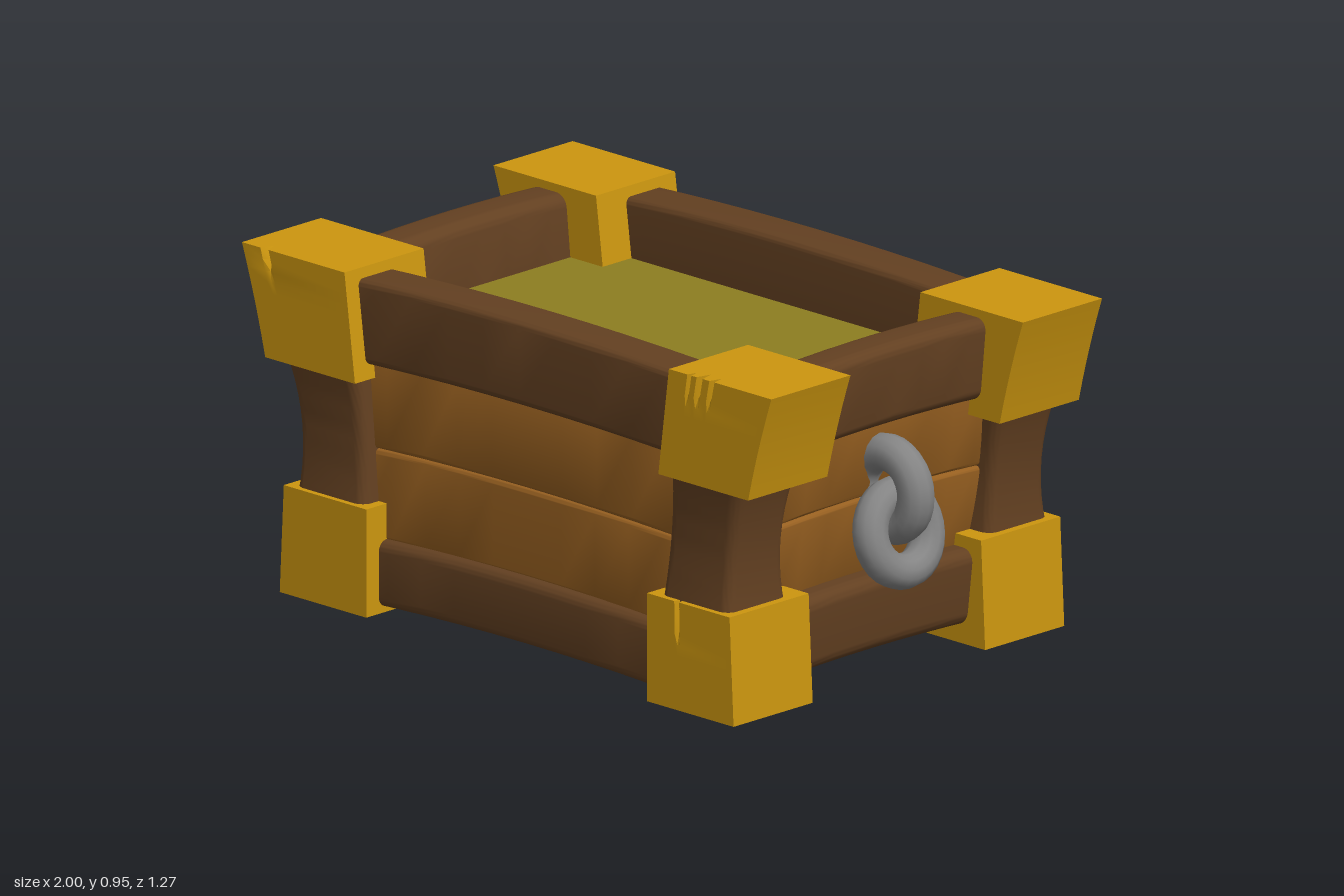
import * as THREE from 'three';
import { toCreasedNormals } from 'three/addons/utils/BufferGeometryUtils.js';

const paint = (name, color) => Object.assign(new THREE.MeshStandardMaterial({ color }), { name });

// Move every vertex by a rule, then keep only the real edges sharp
function reshape(geo, rule) {
  const p = geo.attributes.position;
  const v = new THREE.Vector3();
  for (let i = 0; i < p.count; i++) {
    v.fromBufferAttribute(p, i);
    rule(v);
    p.setXYZ(i, v.x, v.y, v.z);
  }
  return toCreasedNormals(geo, 0.6);
}

function roundRect(x0, y0, x1, y1, r) {
  const s = new THREE.Shape();
  s.absarc(x1 - r, y0 + r, r, -Math.PI / 2, 0);
  s.absarc(x1 - r, y1 - r, r, 0, Math.PI / 2);
  s.absarc(x0 + r, y1 - r, r, Math.PI / 2, Math.PI);
  s.absarc(x0 + r, y0 + r, r, Math.PI, Math.PI * 1.5);
  s.closePath();
  return s;
}

const extrude = (shape, depth, steps) =>
  new THREE.ExtrudeGeometry(shape, { depth, steps, curveSegments: 4, bevelEnabled: false });

// Upright part in a unit plan, stretched between inner and outer faces given by height
function upright(shape, sx, sz, y0, y1, f) {
  const geo = extrude(shape, y1 - y0, 10);
  geo.rotateX(-Math.PI / 2);
  geo.translate(0, y0, 0);
  return reshape(geo, v => {
    const xi = f.xIn(v.y), zi = f.zIn(v.y);
    let w = v.z;
    const a = Math.abs(w);
    // nick tips get shallower lower down
    if (a > 0.7 && a < 0.99 && f.nickLength) {
      const fade = Math.max(0, 1 - (y1 - v.y) / f.nickLength);
      w = sz * (1 - (1 - a) * fade);
    }
    v.x = sx * xi + v.x * (f.xOut(v.y) - xi);
    v.z = sz * zi + w * (f.zOut(v.y) - zi);
  });
}

// Square cap plan with small wedge nicks in its z-facing side
function capPlan(sx, sz, nicks) {
  const pts = [[0, 0], [0, 1]];
  for (const [t, half, depth] of nicks) pts.push([t - half, 1], [t, 1 - depth], [t + half, 1]);
  pts.push([1, 1], [1, 0]);
  return new THREE.Shape(pts.map(([t, w]) => new THREE.Vector2(sx * t, -sz * w)));
}

// Arched horizontal bar; near and far are its inner and outer distances from the centre
function bar(alongX, side, near, far, y0, y1, half, rise, r, lean = 0) {
  const dir = alongX ? -side : side;
  const a = dir * near, b = dir * far;
  const geo = extrude(roundRect(Math.min(a, b), y0, Math.max(a, b), y1, r), half * 2, 10);
  geo.translate(0, 0, -half);
  if (alongX) geo.rotateY(Math.PI / 2);
  return reshape(geo, v => {
    const s = (alongX ? v.x : v.z) / half;
    if (!alongX) v.x += side * lean * (v.y - (y0 + y1) / 2);
    v.y += rise * (1 - s * s);
  });
}

export function createModel() {
  const model = new THREE.Group();
  model.name = 'chest';
  const gold = paint('gold', 0xcc960f);
  const darkWood = paint('dark wood', 0x634021);
  const plankWood = paint('plank wood', 0x965f20);
  const olive = paint('olive lining', 0x8d7e20);
  const iron = paint('iron', 0x848484);

  const add = (name, geo, mat, parent = model) => {
    const m = new THREE.Mesh(geo, mat);
    m.name = name;
    parent.add(m);
    return m;
  };

  // Core with the lining on top
  add('core', new THREE.BoxGeometry(1.34, 0.66, 1.0), plankWood).position.y = 0.41;
  add('lining', new THREE.BoxGeometry(1.46, 0.02, 0.94), olive).position.y = 0.75;

  // Frame beams and planks on all four walls
  for (const s of [1, -1]) {
    const wall = s > 0 ? 'front' : 'back';
    add(wall + 'LowerBeam', bar(true, s, 0.43, 0.585, 0.012, 0.2, 0.62, 0.018, 0.03), darkWood);
    add(wall + 'UpperBeam', bar(true, s, 0.44, 0.585, 0.685, 0.922, 0.68, 0.018, 0.02), darkWood);
    add(wall + 'LowerPlank', bar(true, s, 0.46, 0.555, 0.19, 0.445, 0.64, 0.018, 0.014), plankWood);
    add(wall + 'UpperPlank', bar(true, s, 0.46, 0.555, 0.445, 0.7, 0.66, 0.018, 0.014), plankWood);

    const end = s > 0 ? 'left' : 'right';
    add(end + 'LowerBeam', bar(false, s, 0.64, 0.8, 0.045, 0.265, 0.45, 0.013, 0.04, 0.12), darkWood);
    add(end + 'UpperBeam', bar(false, s, 0.715, 0.85, 0.69, 0.925, 0.45, 0.015, 0.035, 0.1), darkWood);
    add(end + 'LowerPlank', bar(false, s, 0.64, 0.755, 0.25, 0.48, 0.46, 0.015, 0.014, 0.15), plankWood);
    add(end + 'UpperPlank', bar(false, s, 0.66, 0.785, 0.48, 0.71, 0.46, 0.015, 0.014, 0.15), plankWood);
  }

  // Corner posts with gold caps
  const post = {
    xIn: y => 0.56 + 0.087 * (y - 0.305),
    xOut: y => 0.815 + 0.6 * (y - 0.38) ** 2,
    zIn: y => 0.397 - 0.4 * (y - 0.48) ** 2,
    zOut: y => 0.602 + 0.45 * (y - 0.48) ** 2,
  };
  const topCap = {
    xIn: y => 0.573 + 0.13 * (y - 0.65),
    xOut: y => 0.912 + 0.23 * (y - 0.65) + 0.19 * (y - 0.65) ** 2,
    zIn: () => 0.33,
    zOut: () => 0.633,
    nickLength: 0.075,
  };
  const footCap = {
    xIn: () => 0.53,
    xOut: y => 0.857 - 0.05 * y,
    zIn: () => 0.33,
    zOut: () => 0.633,
    nickLength: 0.12,
  };
  for (const sx of [1, -1]) for (const sz of [1, -1]) {
    const corner = new THREE.Group();
    corner.name = (sz > 0 ? 'front' : 'back') + (sx > 0 ? 'Left' : 'Right') + 'Corner';
    model.add(corner);
    let topNicks = [], footNicks = [];
    if (sz > 0) {
      topNicks = sx > 0 ? [[0.2, 0.02, 0.1], [0.3, 0.03, 0.15], [0.42, 0.025, 0.12]] : [[0.78, 0.04, 0.12]];
      if (sx > 0) footNicks = [[0.36, 0.03, 0.1]];
    }
    const x0 = Math.min(0, sx), z0 = Math.min(0, -sz);
    const postPlan = roundRect(x0, z0, x0 + 1, z0 + 1, 0.14);
    add('post', upright(postPlan, sx, sz, 0.28, 0.68, post), darkWood, corner);
    add('topCap', upright(capPlan(sx, sz, topNicks), sx, sz, 0.65, 0.955, topCap), gold, corner);
    add('footCap', upright(capPlan(sx, sz, footNicks), sx, sz, 0, 0.305, footCap), gold, corner);
  }

  // Two-link chain handle on each end
  for (const s of [1, -1]) {
    const handle = new THREE.Group();
    handle.name = (s > 0 ? 'left' : 'right') + 'ChainHandle';
    model.add(handle);
    const fixed = add('fixedLink', new THREE.TorusGeometry(0.103, 0.052, 12, 28), iron, handle);
    fixed.position.set(s * 0.82 + 0.008, 0.525, 0.01);
    const hanging = add('hangingLink', new THREE.TorusGeometry(0.105, 0.05, 12, 28).rotateY(Math.PI / 2), iron, handle);
    hanging.position.set(s * 0.858 + 0.008, 0.41, 0.01);
    hanging.rotation.z = s * 0.27;
  }
  return model;
}
